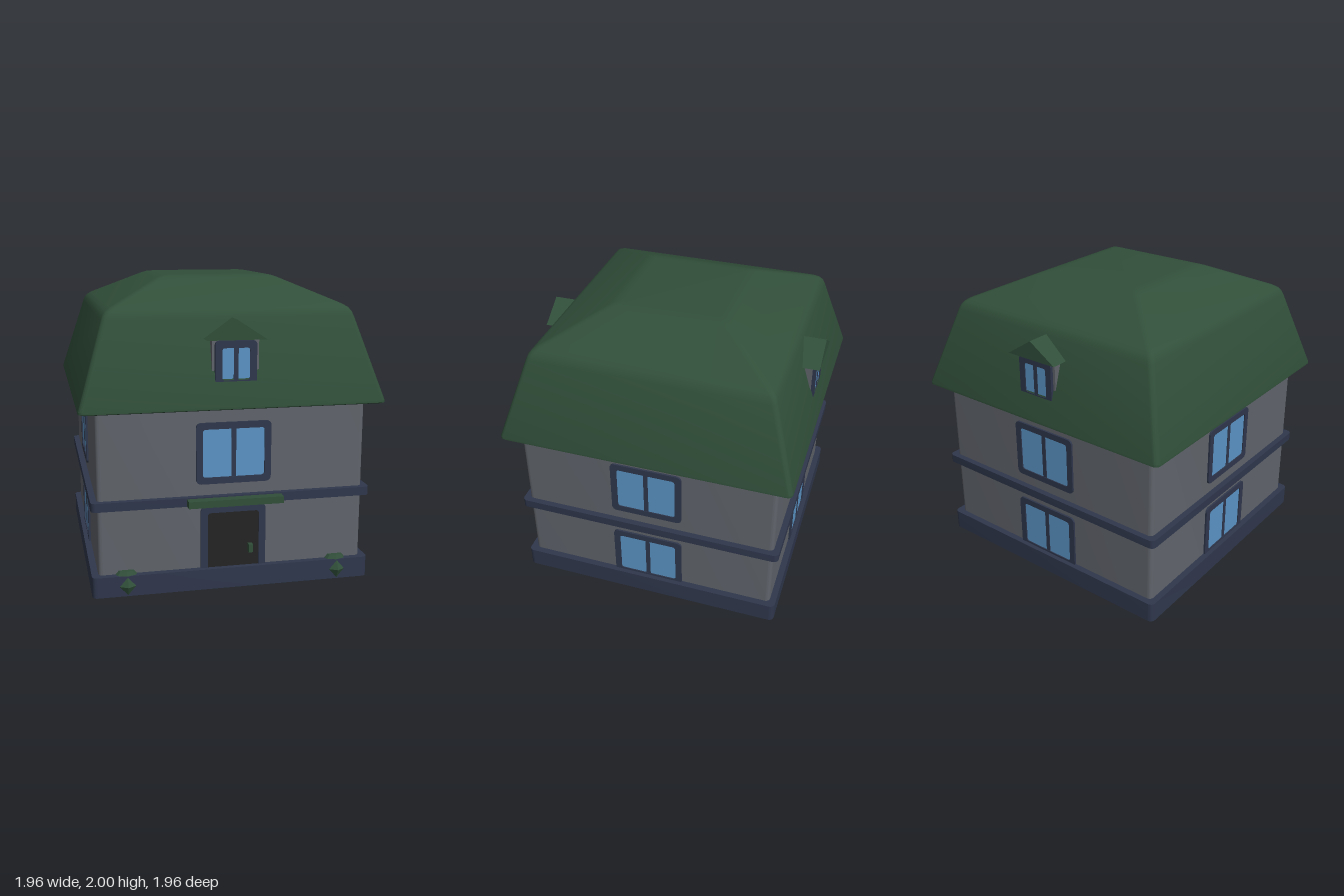
import * as THREE from 'three';
import { toCreasedNormals, mergeVertices } from 'three/addons/utils/BufferGeometryUtils.js';

const mat = (name, color, extra = {}) => {
  const m = new THREE.MeshStandardMaterial({ color, ...extra });
  m.name = name;
  return m;
};

// Rounded rectangle outline centred on (cx, cy)
function roundRect(w, h, r, cx = 0, cy = 0, Type = THREE.Shape) {
  const s = new Type(), x = w / 2, y = h / 2;
  s.absarc(cx + x - r, cy + y - r, r, 0, Math.PI / 2);
  s.absarc(cx - x + r, cy + y - r, r, Math.PI / 2, Math.PI);
  s.absarc(cx - x + r, cy - y + r, r, Math.PI, Math.PI * 1.5);
  s.absarc(cx + x - r, cy - y + r, r, Math.PI * 1.5, Math.PI * 2);
  s.closePath();
  return s;
}

export function createModel() {
  const wallMat = mat('wallGrey', 0x60646b);
  const trimMat = mat('trimNavy', 0x2f374c);
  const roofMat = mat('roofGreen', 0x314f3a);
  const glassMat = mat('glassBlue', 0x5b95c6);
  const doorMat = mat('doorBlack', 0x242424);

  const house = new THREE.Group();
  house.name = 'house';

  const add = (parent, name, geo, material, x = 0, y = 0, z = 0) => {
    const m = new THREE.Mesh(geo, material);
    m.name = name;
    m.position.set(x, y, z);
    parent.add(m);
    return m;
  };
  const box = (parent, name, material, w, h, d, x, y, z) =>
    add(parent, name, new THREE.BoxGeometry(w, h, d), material, x, y, z);

  // Upright block with rounded vertical corners
  const block = (name, material, half, y0, y1, r) => {
    const geo = new THREE.ExtrudeGeometry(roundRect(half * 2, half * 2, r), {
      depth: y1 - y0, bevelEnabled: false, curveSegments: 4,
    });
    geo.rotateX(-Math.PI / 2);
    add(house, name, toCreasedNormals(geo, 0.6), material, 0, y0, 0);
  };
  block('walls', wallMat, 0.877, 0, 1.22, 0.03);
  block('plinth', trimMat, 0.92, 0.004, 0.14, 0.035);
  block('storeyBand', trimMat, 0.917, 0.573, 0.63, 0.035);

  // Roof: rounded squares stacked by [half width, height, corner radius]
  const profile = [
    [0.965, 1.2, 0.03], [0.98, 1.207, 0.035], [0.98, 1.222, 0.035],
    [0.815, 1.75, 0.035], [0.803, 1.78, 0.035], [0.785, 1.803, 0.035], [0.755, 1.823, 0.035],
    [0.41, 1.982, 0.035], [0.375, 1.994, 0.03], [0.33, 2, 0.03],
  ];
  const pos = [], index = [], seg = 4, ring = 4 * (seg + 1);
  for (const [half, y, r] of profile) {
    for (let c = 0; c < 4; c++) {
      for (let i = 0; i <= seg; i++) {
        const a = (c + i / seg) * Math.PI / 2;
        const sx = c === 0 || c === 3 ? 1 : -1, sz = c < 2 ? 1 : -1;
        pos.push(sx * (half - r) + r * Math.cos(a), y, sz * (half - r) + r * Math.sin(a));
      }
    }
  }
  for (let k = 0; k < profile.length - 1; k++) {
    for (let i = 0; i < ring; i++) {
      const a = k * ring + i, b = k * ring + (i + 1) % ring;
      index.push(a, a + ring, b, b, a + ring, b + ring);
    }
  }
  // Underside and top caps
  const last = (profile.length - 1) * ring;
  for (let i = 1; i < ring - 1; i++) {
    index.push(0, i, i + 1, last, last + i + 1, last + i);
  }
  const roofGeo = new THREE.BufferGeometry();
  roofGeo.setAttribute('position', new THREE.Float32BufferAttribute(pos, 3));
  roofGeo.setIndex(index);
  add(house, 'roof', toCreasedNormals(mergeVertices(roofGeo), 0.5), roofMat);

  // Flat frame with a rounded opening; back at z, depth d
  const frame = (parent, name, w, h, border, r, y, z, d) => {
    const shape = roundRect(w, h, r);
    shape.holes.push(roundRect(w - border * 2, h - border * 2, r * 0.6, 0, 0, THREE.Path));
    const geo = new THREE.ExtrudeGeometry(shape, { depth: d, bevelEnabled: false, curveSegments: 5 });
    add(parent, name, geo, trimMat, 0, y, z);
  };

  const windowUnit = (parent, y) => {
    const g = new THREE.Group();
    g.name = 'window';
    parent.add(g);
    frame(g, 'windowFrame', 0.49, 0.4, 0.043, 0.032, y, 0.87, 0.02);
    box(g, 'windowGlass', glassMat, 0.42, 0.33, 0.009, 0, y, 0.8785);
    box(g, 'windowMullion', trimMat, 0.03, 0.33, 0.012, 0, y, 0.881);
  };

  const dormer = (parent) => {
    const g = new THREE.Group();
    g.name = 'dormer';
    parent.add(g);
    box(g, 'dormerWalls', wallMat, 0.3, 0.26, 0.22, 0, 1.51, 0.802);
    frame(g, 'dormerFrame', 0.265, 0.29, 0.045, 0.025, 1.48, 0.9, 0.033);
    box(g, 'dormerGlass', glassMat, 0.2, 0.25, 0.009, 0, 1.48, 0.9235);
    box(g, 'dormerMullion', trimMat, 0.03, 0.25, 0.012, 0, 1.48, 0.925);
    const gable = new THREE.Shape([[-0.19, 1.632], [0.19, 1.632], [0, 1.756]]
      .map(([x, y]) => new THREE.Vector2(x, y)));
    add(g, 'dormerRoof', new THREE.ExtrudeGeometry(gable, { depth: 0.215, bevelEnabled: false }),
      roofMat, 0, 0, 0.75);
  };

  // Four sides: front, left, back, right
  ['frontSide', 'leftSide', 'backSide', 'rightSide'].forEach((name, i) => {
    const side = new THREE.Group();
    side.name = name;
    side.rotation.y = i * Math.PI / 2;
    house.add(side);
    windowUnit(side, 0.905);
    if (i > 0) windowUnit(side, 0.31);
    if (i % 2 === 0) dormer(side);
  });

  // Entrance
  const entrance = new THREE.Group();
  entrance.name = 'entrance';
  house.add(entrance);
  frame(entrance, 'doorFrame', 0.43, 0.49, 0.045, 0.035, 0.31, 0.87, 0.02);
  box(entrance, 'door', doorMat, 0.345, 0.43, 0.012, 0, 0.298, 0.879);
  box(entrance, 'doorHandle', roofMat, 0.028, 0.055, 0.04, 0.11, 0.262, 0.9);
  box(entrance, 'doorCanopy', roofMat, 0.62, 0.045, 0.12, 0, 0.6, 0.92);

  // Faceted shrubs at the front corners
  for (const x of [-0.7, 0.7]) {
    const shrub = new THREE.Group();
    shrub.name = 'shrub';
    shrub.position.set(x, 0, 0.88);
    house.add(shrub);
    const lower = new THREE.CylinderGeometry(0.035, 0.035, 0.14, 6, 2);
    const p = lower.attributes.position;
    for (let i = 0; i < p.count; i++) {
      if (Math.abs(p.getY(i)) < 0.01) {
        p.setX(i, p.getX(i) * 2);
        p.setZ(i, p.getZ(i) * 2);
      }
    }
    add(shrub, 'shrubBody', toCreasedNormals(lower, 0.1), roofMat, 0.005, 0.0705, 0);
    const crown = new THREE.CylinderGeometry(0.05, 0.075, 0.026, 7);
    crown.scale(1, 1, 0.6);
    add(shrub, 'shrubCrown', toCreasedNormals(crown, 0.1), roofMat, 0, 0.152, 0);
  }
  return house;
}
